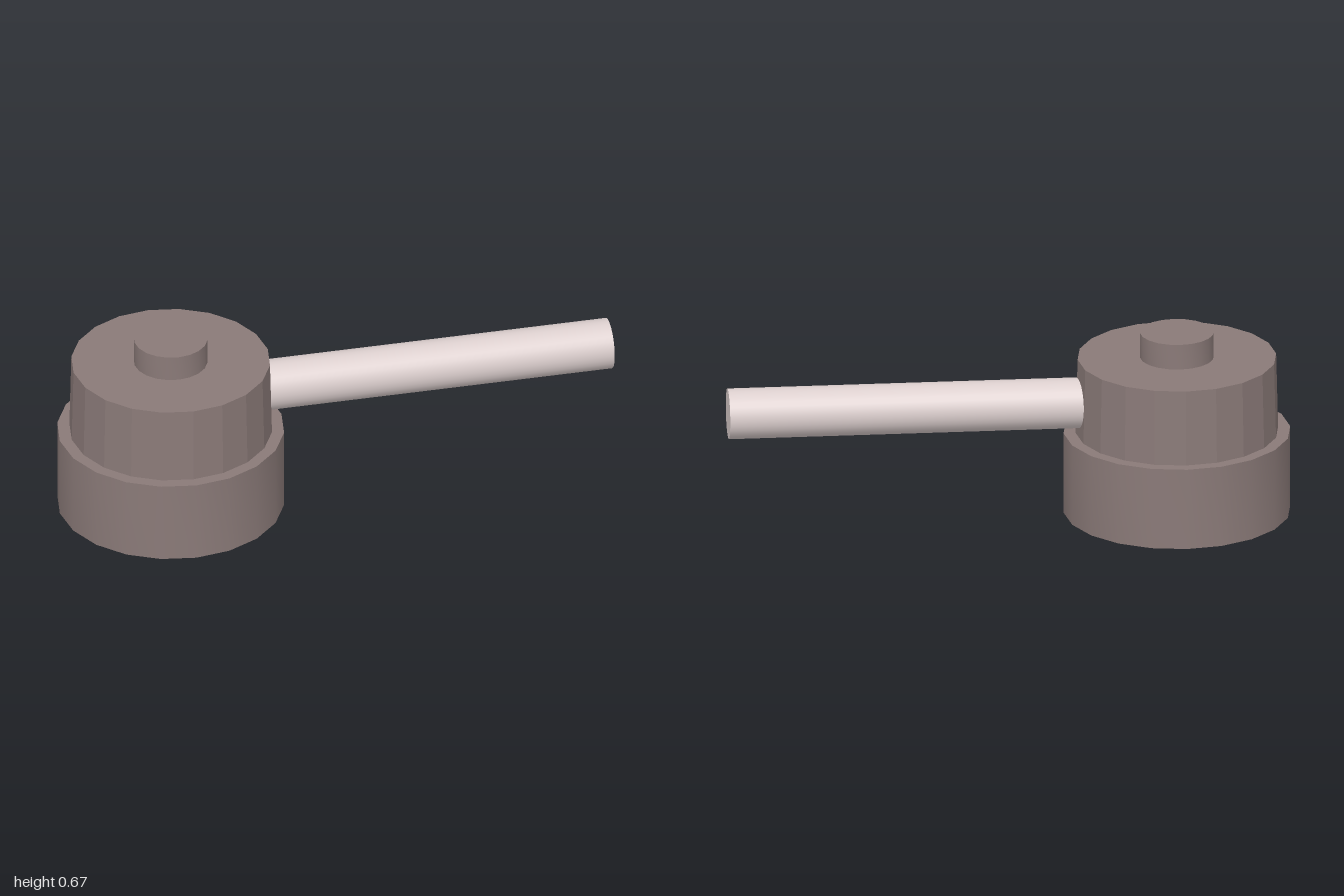
import * as THREE from 'three';
import { toCreasedNormals } from 'three/addons/utils/BufferGeometryUtils.js';

const SIDES = 20;
const AXIS_X = -0.597; // centre line of the lamp head

const brown = new THREE.MeshStandardMaterial({ color: 0x8a7a78 });
const pale = new THREE.MeshStandardMaterial({ color: 0xdccfce });
const grey = new THREE.MeshStandardMaterial({ color: 0xcccccc });

export function createModel() {
  const model = new THREE.Group();
  const head = new THREE.Group();
  head.name = 'lampHead';
  head.position.x = AXIS_X;
  model.add(head);

  const add = (parent, name, geometry, material, x = 0, y = 0, z = 0) => {
    const mesh = new THREE.Mesh(geometry, material);
    mesh.name = name;
    mesh.position.set(x, y, z);
    parent.add(mesh);
    return mesh;
  };

  // Turned part from [radius, height] pairs; edges sharper than crease stay hard
  const turned = (name, profile, crease) => {
    const points = profile.map(([r, y]) => new THREE.Vector2(r, y));
    add(head, name, toCreasedNormals(new THREE.LatheGeometry(points, SIDES), crease), brown);
  };

  // Wide lower ring, with its rim and the step at the top
  turned('lowerShade', [[0.372, 0], [0.403, 0], [0.403, 0.3], [0.33, 0.3]], 0.5);
  // Faceted hollow inside with its ceiling
  turned('shadeInterior', [[0, 0.285], [0.372, 0.285], [0.372, 0]], 0.1);
  // Slightly tapered faceted housing
  turned('upperHousing', [[0.36, 0.3], [0.353, 0.577], [0, 0.577]], 0.1);
  // Small cap on top
  turned('topCap', [[0.131, 0.57], [0.131, 0.67], [0, 0.67]], 0.5);

  // Bulb inside the hollow
  add(head, 'bulb', new THREE.SphereGeometry(0.095, 32, 20), grey, 0, 0.11, 0);

  // Horizontal handle running from inside the housing to the left
  const start = -0.3, end = 1;
  const handle = add(model, 'handle', new THREE.CylinderGeometry(0.09, 0.09, end - start, 32),
    pale, (start + end) / 2, 0.42, -0.015);
  handle.rotation.z = Math.PI / 2;

  return model;
}
